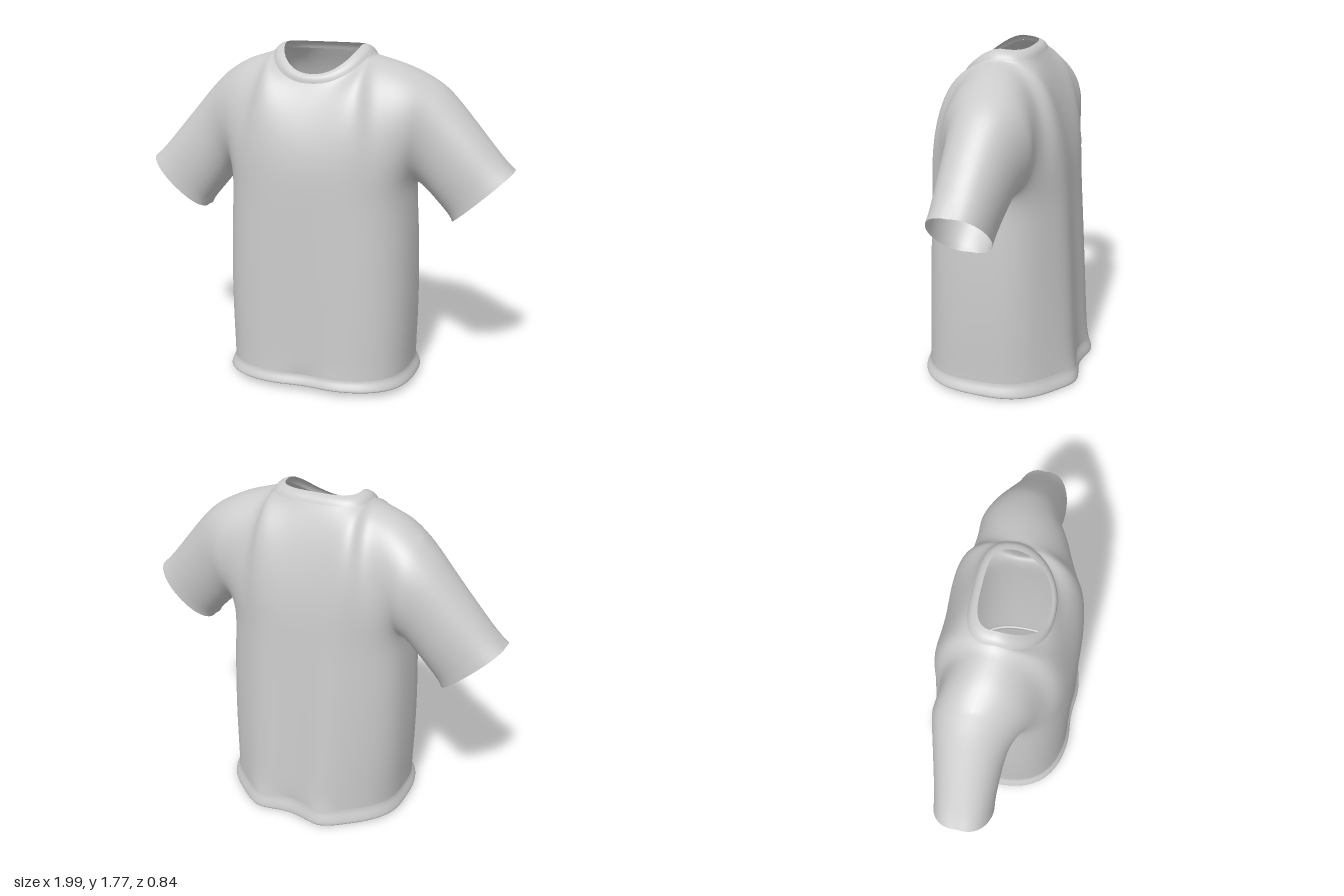
import * as THREE from 'three';
import { mergeGeometries, mergeVertices } from 'three/addons/utils/BufferGeometryUtils.js';

const { lerp, smoothstep } = THREE.MathUtils;
const V = (x, y, z) => new THREE.Vector3(x, y, z);
const Y_HEM = 0.09, Y_ARMPIT = 1.08, NECK = 0.45, ARMHOLE = 0.295, CUFF = 0.2;
const curve = (...pts) => new THREE.CatmullRomCurve3(pts.map(p => V(...p)));

// Surface from a function f(u, v), u and v in 0..1
function grid(f, nu, nv, flip = false) {
  const pos = [], idx = [];
  for (let j = 0; j <= nv; j++) for (let i = 0; i <= nu; i++) pos.push(...f(i / nu, j / nv).toArray());
  for (let j = 0; j < nv; j++) for (let i = 0; i < nu; i++) {
    const a = j * (nu + 1) + i, b = a + 1, c = a + nu + 1, d = c + 1;
    idx.push(...(flip ? [a, d, b, a, c, d] : [a, b, d, a, d, c]));
  }
  const g = new THREE.BufferGeometry();
  g.setAttribute('position', new THREE.Float32BufferAttribute(pos, 3));
  g.setIndex(idx);
  return g;
}

// Slight droop and backward set of the right sleeve
function droop(p) {
  if (p.x < 0) {
    const t = smoothstep(-p.x, 0.4, 0.75);
    p.y -= 0.055 * t;
    p.z -= 0.03 * t;
  }
  return p;
}

// Torso outline at height y; s = -1..1 from right to left, side = 1 front, -1 back
function torso(s, side, y) {
  const k = (y - Y_HEM) / (Y_ARMPIT - Y_HEM), a = s * Math.PI / 2;
  const e = side > 0 ? lerp(0.68, 0.75, k) : 0.85;
  const hx = lerp(0.49, 0.483, k) + 0.07 * k * (1 - k);
  const x = hx * Math.sign(s) * Math.abs(Math.sin(a)) ** e;
  const c = Math.max(0, Math.cos(a)) ** e;
  const depth = side > 0 ? lerp(0.405, 0.415, k) : lerp(0.375, 0.3, k);
  const fold = side > 0
    ? -lerp(0.018, 0, k) * Math.exp(-((x / 0.11) ** 2))
    : lerp(0.042, 0.02, k) * Math.exp(-(((Math.abs(x) - 0.19) / 0.11) ** 2));
  return V(x + lerp(0.015, 0, k), y, lerp(0, -0.03, k) + side * (depth * c + fold * Math.min(1, c * 2)));
}

// Neck seam (r = 0) to neck rim (r = 1): round in front, squarer at the back
function neck(phi, r) {
  const c = Math.cos(phi), s = Math.sin(phi), e = s > 0 ? 0.9 : 0.65;
  const x = lerp(0.262, 0.205, r) * Math.sign(c) * Math.abs(c) ** e;
  const q = Math.abs(s) ** e;
  const z = s > 0 ? lerp(0.236, 0.212, r) * q : -lerp(0.16, 0.115, r) * q;
  const y = lerp(1.74, 1.775, r) - (s > 0 ? lerp(0.145, 0.135, r) * q ** 1.7 : lerp(0.015, 0.008, r) * q);
  return V(x, y, z);
}

const shoulder = curve([0.262, 1.74, 0], [0.35, 1.716, -0.01], [0.45, 1.685, -0.02], [0.55, 1.641, -0.03]);
const sleeveTop = curve([0.55, 1.641, -0.03], [0.63, 1.59, -0.03], [0.7, 1.52, -0.025], [0.85, 1.345, -0.01], [0.995, 1.17, 0]);
const sleeveBottom = curve([0.483, 1.08, -0.03], [0.53, 1.055, -0.03], [0.61, 0.985, -0.015], [0.7, 0.9, 0]);
const arch = (p0, d0, d1, p3, t) =>
  new THREE.CubicBezierCurve3(p0, p0.clone().add(d0), p3.clone().add(d1), p3).getPoint(t);

// Chest or upper back: arches from the armpit line to the shoulder and neck seam
function yoke(s, side, t) {
  const m = Math.abs(s), w = m ** 2.7, inNeck = m <= NECK;
  const base = torso(s, side, Y_ARMPIT);
  const top = inNeck ? neck(side * Math.PI / 2 * (1 - s / NECK), 0) : shoulder.getPoint((m - NECK) / (1 - NECK));
  if (!inNeck && s < 0) top.x *= -1;
  const n = smoothstep(m, 0, NECK), o = smoothstep(m, NECK, 1);
  const reach = lerp(lerp(side > 0 ? 0.06 : 0.08, 0.23, n), ARMHOLE, o);
  return arch(base, V(0, 0.25 * (1 - w), side * ARMHOLE * w), V(0, -0.12 * (1 - n), side * reach), top, t);
}

function sleeve(k, mirror, side, t) {
  const top = sleeveTop.getPoint(k), bottom = sleeveBottom.getPoint(k);
  const reach = side * lerp(ARMHOLE, CUFF, k ** 0.85);
  // Handles spread along the arm's width make the cuff squarer
  const spread = top.clone().sub(bottom).multiplyScalar(0.12 * k);
  const p = arch(bottom, V(-spread.x, -spread.y, reach), V(spread.x, spread.y, reach), top, t);
  p.x *= mirror;
  return p;
}

// Relax the cloth, keeping the open edges in place
function relax(g, passes) {
  const p = g.attributes.position, ix = g.index.array;
  const near = Array.from({ length: p.count }, () => new Map());
  const link = (a, b) => near[a].set(b, (near[a].get(b) || 0) + 1);
  for (let i = 0; i < ix.length; i += 3) for (let k = 0; k < 3; k++) {
    const a = ix[i + k], b = ix[i + (k + 1) % 3];
    link(a, b);
    link(b, a);
  }
  const fixed = near.map(m => [...m.values()].some(c => c === 1));
  for (let n = 0; n < passes; n++) {
    const old = p.array.slice();
    for (let i = 0; i < p.count; i++) {
      if (fixed[i]) continue;
      for (let c = 0; c < 3; c++) {
        let sum = 0;
        for (const j of near[i].keys()) sum += old[j * 3 + c];
        p.array[i * 3 + c] = lerp(old[i * 3 + c], sum / near[i].size, 0.5);
      }
    }
  }
}

// Weld the pieces into one smooth surface
function weld(parts, passes = 0) {
  const g = mergeVertices(mergeGeometries(parts), 5e-4);
  if (passes) relax(g, passes);
  g.computeVertexNormals();
  return g;
}

export function createModel() {
  const group = new THREE.Group();
  const material = new THREE.MeshStandardMaterial({ color: 0xcccccc, roughness: 0.9, side: THREE.DoubleSide });
  const add = (name, geometry) => {
    const mesh = new THREE.Mesh(geometry, material);
    mesh.name = name;
    group.add(mesh);
  };

  // Torso, yoke and sleeves, front and back
  const cloth = [], hem = [];
  for (const side of [1, -1]) {
    const flip = side < 0;
    cloth.push(grid((u, v) => droop(torso(u * 2 - 1, side, lerp(Y_HEM, Y_ARMPIT, v))), 80, 30, flip));
    cloth.push(grid((u, v) => droop(yoke(u * 2 - 1, side, v)), 80, 24, flip));
    for (const mirror of [1, -1])
      cloth.push(grid((u, v) => droop(sleeve(u, mirror, side, v)), 20, 24, side * mirror < 0));

    // Flared bottom band with a thin lip
    const profile = curve([0.006, 0.012, 0], [0.014, 0.004, 0], [0.021, 0.012, 0], [0.017, 0.035, 0], [0.004, 0.07, 0], [0, 0.09, 0]);
    hem.push(grid((u, v) => {
      const p = torso(u * 2 - 1, side, Y_HEM), q = profile.getPoint(v);
      const grow = 1 + q.x / 0.46;
      const lift = (0.014 + 0.04 * p.z) * (1 - q.y / 0.09);
      return droop(V(p.x * grow, q.y + lift, p.z * grow));
    }, 80, 14, flip));
  }
  add('bodyAndSleeves', weld(cloth, 18));
  add('hemBand', weld(hem));

  // Low neck band, slightly raised above the cloth
  add('collar', weld([grid((u, r) => {
    const phi = u * Math.PI * 2, p = neck(phi, r), puff = 0.006 * Math.sin(Math.PI * r);
    return p.add(V(puff * Math.cos(phi), puff, puff * Math.sin(phi)));
  }, 96, 8, true)]));
  return group;
}
